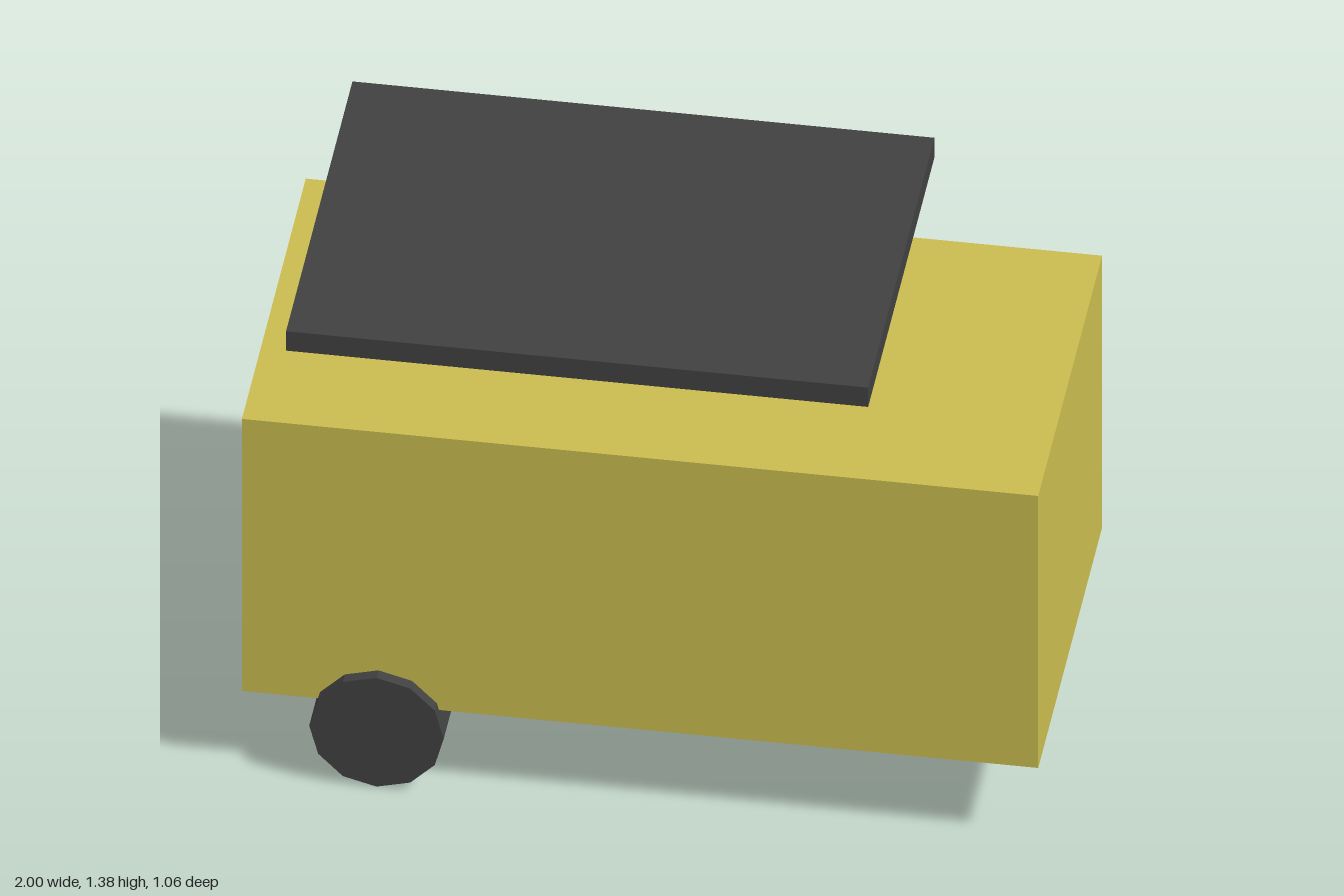
import * as THREE from 'three';

export function createModel() {
  const model = new THREE.Group();
  model.name = 'solarCart';

  const yellow = new THREE.MeshStandardMaterial({ color: 0xc9bb4f });
  yellow.name = 'body yellow';
  const charcoal = new THREE.MeshStandardMaterial({ color: 0x404040, flatShading: true });
  charcoal.name = 'charcoal';

  const add = (name, geometry, material, x, y, z) => {
    const mesh = new THREE.Mesh(geometry, material);
    mesh.name = name;
    mesh.position.set(x, y, z);
    model.add(mesh);
  };

  // Box body
  add('body', new THREE.BoxGeometry(2, 0.846, 1), yellow, 0, 0.656, 0);

  // Flat panel floating above the body
  add('roofPanel', new THREE.BoxGeometry(1.462, 0.06, 1.04), charcoal, -0.155, 1.35, 0);

  // Three twelve-sided wheels: a pair at one end and a single one at the other
  const radius = 0.169;
  const wheel = new THREE.CylinderGeometry(radius, radius, 0.137, 12).rotateX(Math.PI / 2);
  add('leftRearWheel', wheel, charcoal, -0.657, radius, -0.463);
  add('rightRearWheel', wheel, charcoal, -0.657, radius, 0.463);
  add('singleWheel', wheel, charcoal, 0.807, radius, 0);

  return model;
}
